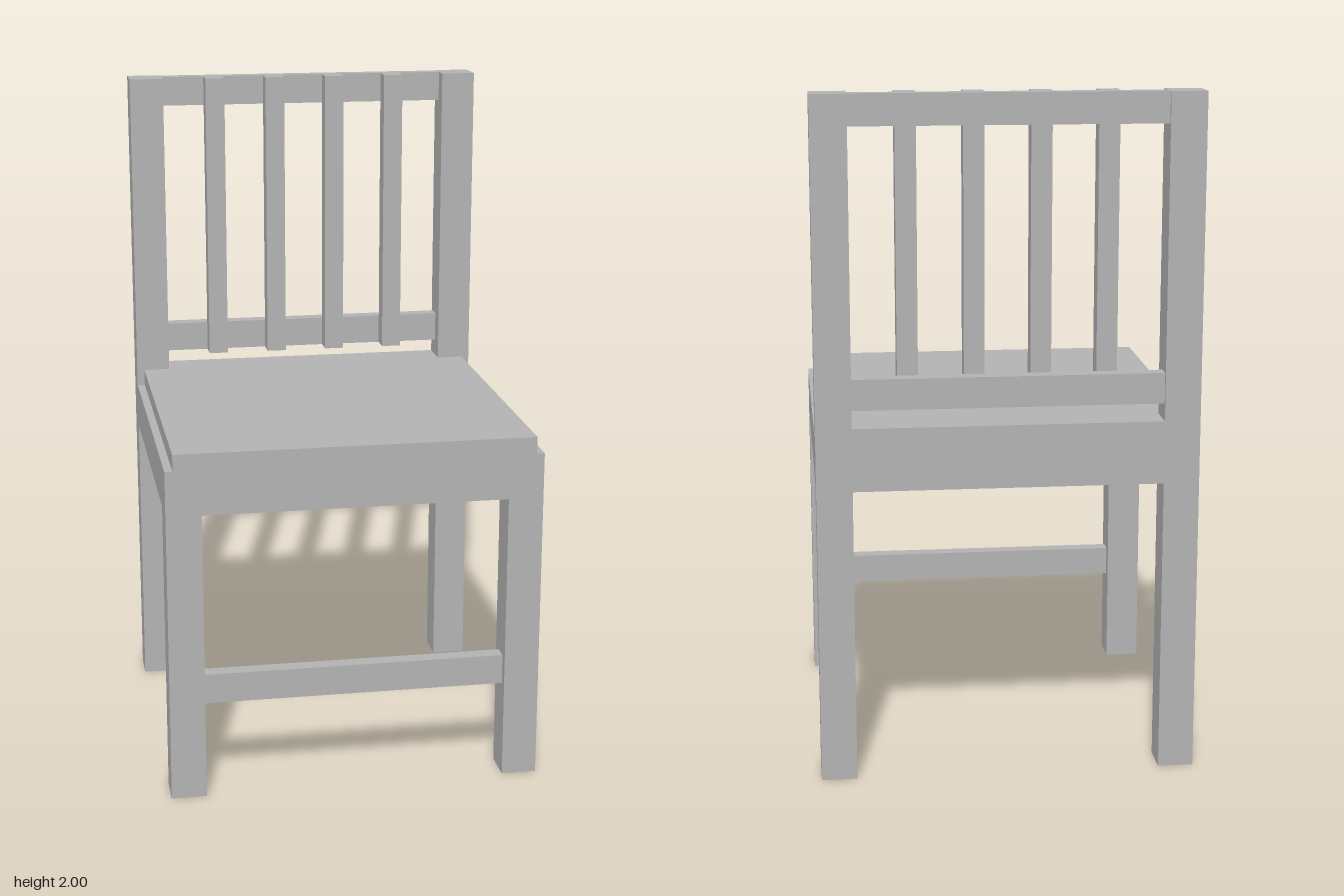
import * as THREE from 'three';

export function createModel() {
  const chair = new THREE.Group();
  chair.name = 'chair';
  const grey = new THREE.MeshStandardMaterial({ color: 0xb3b3b3 });
  grey.name = 'plain grey';

  // Box given by its lower and upper corner
  function bar(name, [x0, y0, z0], [x1, y1, z1]) {
    const mesh = new THREE.Mesh(new THREE.BoxGeometry(x1 - x0, y1 - y0, z1 - z0), grey);
    mesh.position.set((x0 + x1) / 2, (y0 + y1) / 2, (z0 + z1) / 2);
    mesh.name = name;
    chair.add(mesh);
  }

  const W = 0.553, IN = 0.449, D = 0.53, LEG = 0.104;
  const APRON_Y = 0.875, SEAT_Y = 1.01, SEAT_TOP = 1.06, T = 0.05;

  // Legs, back posts and side aprons, mirrored left and right
  for (const s of [1, -1]) {
    const side = s > 0 ? 'left' : 'right';
    const [a, b] = s > 0 ? [IN, W] : [-W, -IN];
    bar(side + 'FrontLeg', [a, 0, D - LEG], [b, SEAT_Y, D]);
    bar(side + 'BackPost', [a, 0, -D], [b, 2, -D + LEG]);
    const [c, d] = s > 0 ? [W - T, W] : [-W, -W + T];
    bar(side + 'Apron', [c, APRON_Y, -D + LEG], [d, SEAT_Y, D - LEG]);
  }

  // Front and back aprons, flush with the legs
  bar('frontApron', [-IN, APRON_Y, D - T], [IN, SEAT_Y, D]);
  bar('backApron', [-IN, APRON_Y, -D], [IN, SEAT_Y, -D + T]);

  // Seat board, notched around the back posts
  const SW = 0.53;
  const outline = [
    [-SW, -D], [SW, -D], [SW, D - LEG], [IN, D - LEG],
    [IN, D], [-IN, D], [-IN, D - LEG], [-SW, D - LEG],
  ].map(([x, y]) => new THREE.Vector2(x, y));
  const board = new THREE.ExtrudeGeometry(new THREE.Shape(outline), {
    depth: SEAT_TOP - SEAT_Y, bevelEnabled: false,
  });
  board.rotateX(-Math.PI / 2);
  const seat = new THREE.Mesh(board, grey);
  seat.position.y = SEAT_Y;
  seat.name = 'seat';
  chair.add(seat);

  // Stretcher between the front legs
  bar('frontStretcher', [-IN, 0.285, 0.457], [IN, 0.375, 0.503]);

  // Back rails
  bar('lowerBackRail', [-IN, 1.11, -0.52], [IN, 1.2, -0.475]);
  bar('topBackRail', [-IN, 1.91, -0.52], [IN, 2, -0.475]);

  // Upright slats on the front of the rails
  for (let i = 0; i < 4; i++) {
    const x = (i - 1.5) * 0.191;
    bar('backSlat' + (i + 1), [x - 0.03, 1.11, -0.475], [x + 0.03, 2, -0.415]);
  }
  return chair;
}
